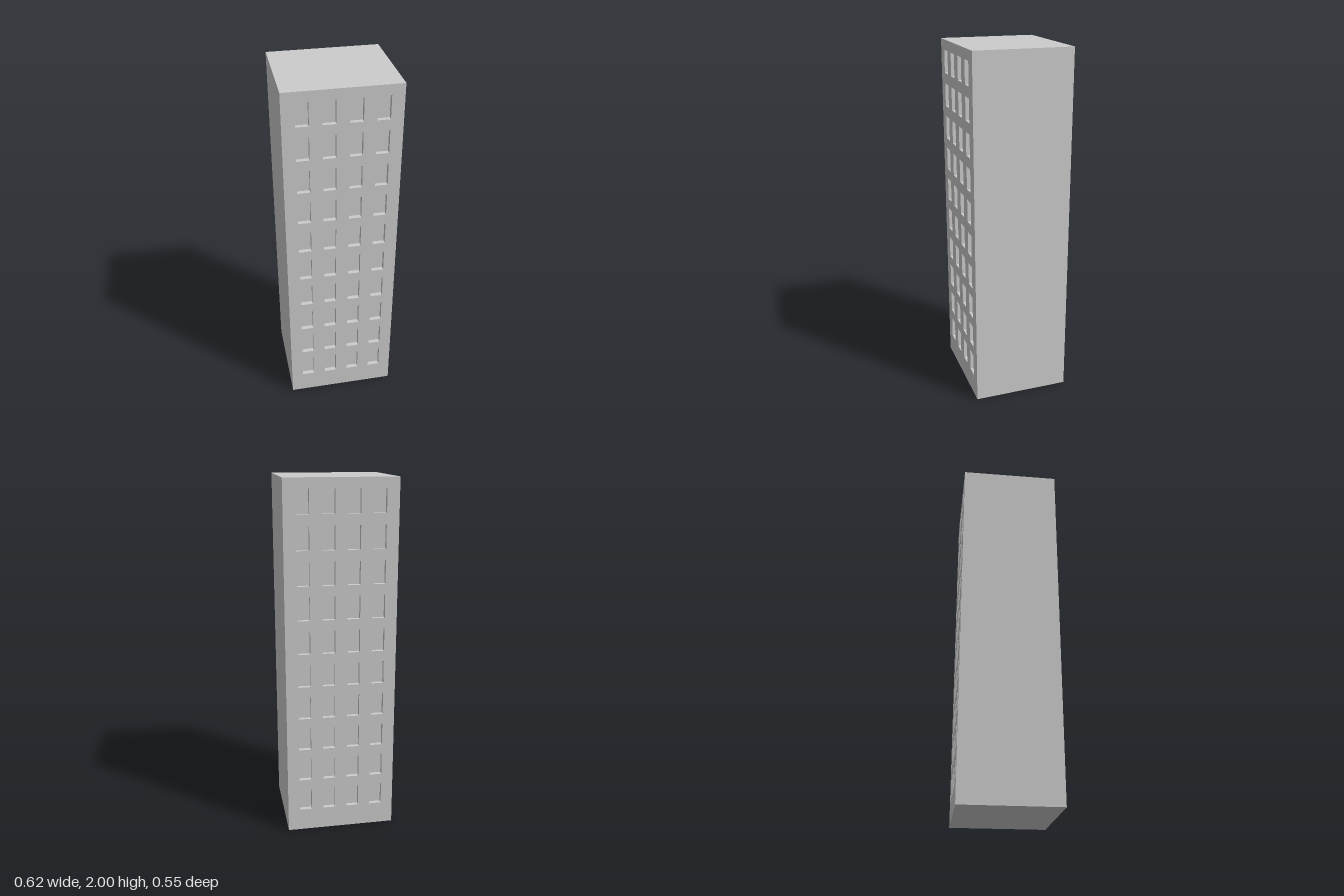
import * as THREE from 'three';

const W = 0.615, H = 2, D = 0.547;            // tower size
const WIN_W = 0.069, WIN_H = 0.128, RECESS = 0.025;
const COLS = 4, ROWS = 10, PITCH_X = 0.137, PITCH_Y = 0.1876, FIRST_Y = 0.191;

const material = new THREE.MeshStandardMaterial({ color: 0xcccccc, flatShading: true });

function windowCentres() {
  const centres = [];
  for (let r = 0; r < ROWS; r++)
    for (let c = 0; c < COLS; c++)
      centres.push([(c - (COLS - 1) / 2) * PITCH_X, FIRST_Y + r * PITCH_Y]);
  return centres;
}

function rectangle(target, x0, y0, x1, y1) {
  target.moveTo(x0, y0);
  target.lineTo(x1, y0);
  target.lineTo(x1, y1);
  target.lineTo(x0, y1);
  target.closePath();
  return target;
}

// Inward-facing box, open towards +z
function recessGeometry() {
  const geo = new THREE.BoxGeometry(WIN_W, WIN_H, RECESS);
  const index = Array.from(geo.index.array);
  geo.setIndex([...index.slice(0, 24), ...index.slice(30)].reverse());
  geo.clearGroups();
  geo.computeVertexNormals();
  return geo;
}

// One wall with window openings and their recesses
function createFacade(name) {
  const facade = new THREE.Group();
  facade.name = name;
  const shape = rectangle(new THREE.Shape(), -W / 2, 0, W / 2, H);
  const recess = recessGeometry();
  for (const [x, y] of windowCentres()) {
    shape.holes.push(rectangle(new THREE.Path(),
      x - WIN_W / 2, y - WIN_H / 2, x + WIN_W / 2, y + WIN_H / 2));
    const pane = new THREE.Mesh(recess, material);
    pane.name = 'windowRecess';
    pane.position.set(x, y, D / 2 - RECESS / 2);
    facade.add(pane);
  }
  const wall = new THREE.Mesh(new THREE.ShapeGeometry(shape), material);
  wall.name = 'facadeWall';
  wall.position.z = D / 2;
  facade.add(wall);
  return facade;
}

export function createModel() {
  const model = new THREE.Group();
  model.name = 'towerBlock';

  // Plain side walls, roof and base: a box without its front and back
  const shell = new THREE.BoxGeometry(W, H, D);
  shell.setIndex(Array.from(shell.index.array).slice(0, 24));
  shell.clearGroups();
  const body = new THREE.Mesh(shell, material);
  body.name = 'sideWallsRoofAndBase';
  body.position.y = H / 2;
  model.add(body);

  // Matching windowed walls at front and back
  const back = createFacade('backFacade');
  back.rotation.y = Math.PI;
  model.add(createFacade('frontFacade'), back);
  return model;
}
